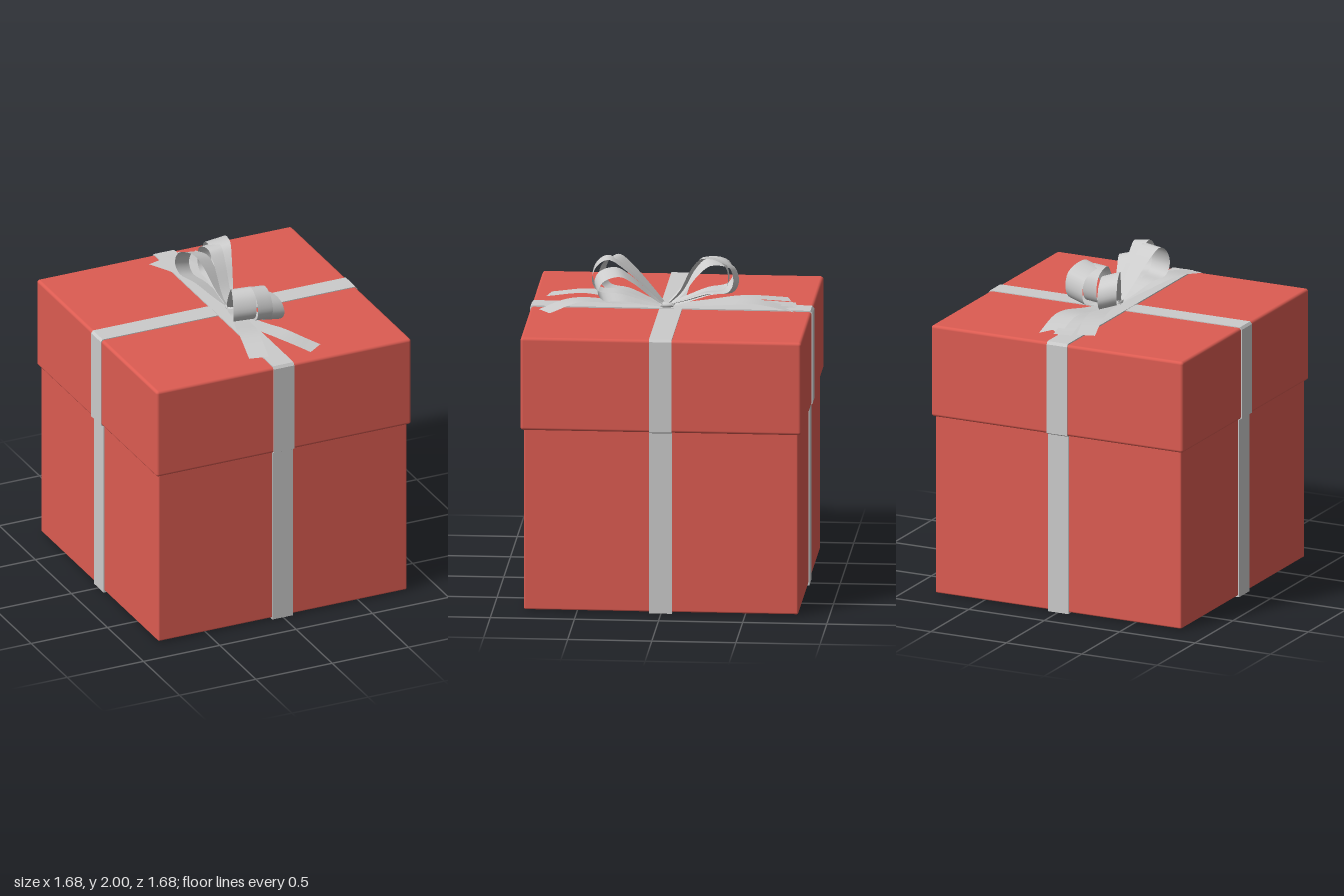
import * as THREE from 'three';
import { RoundedBoxGeometry } from 'three/addons/geometries/RoundedBoxGeometry.js';

const red = new THREE.MeshStandardMaterial({ color: 0xdd5c52 });
const grey = new THREE.MeshStandardMaterial({ color: 0xcccccc });
const satin = new THREE.MeshStandardMaterial({ color: 0xcccccc, side: THREE.DoubleSide });

function add(parent, name, geometry, material) {
  const mesh = new THREE.Mesh(geometry, material);
  mesh.name = name;
  parent.add(mesh);
  return mesh;
}

// Flat ribbon band wrapped round the stepped outline of the box
function bandGeometry(lift) {
  const half = [[0.822, 0], [0.822, 1.1], [0.84, 1.11], [0.84, 1.66], [0.828, 1.675 + lift]];
  const inner = [[0.805, 0.012], [0.805, 1.12], [0.825, 1.13], [0.825, 1.65], [0.815, 1.665]];
  const loop = (pts) => [...pts, ...[...pts].reverse().map(([x, y]) => [-x, y])]
    .map(([x, y]) => new THREE.Vector2(x, y));
  const shape = new THREE.Shape(loop(half));
  shape.holes.push(new THREE.Path(loop(inner)));
  const g = new THREE.ExtrudeGeometry(shape, { depth: 0.135, bevelEnabled: false });
  return g.translate(0, 0, -0.0675);
}

// Strip along a curve: width(t) across it, side(t, tangent) its direction, notch cuts a V in the end
function ribbonGeometry(points, width, side, notch = 0) {
  const curve = new THREE.CatmullRomCurve3(points.map((p) => new THREE.Vector3(...p)));
  const rows = 40, cols = 4, pos = [], index = [];
  for (let i = 0; i <= rows; i++) {
    const t = i / rows, c = curve.getPoint(t), tangent = curve.getTangent(t);
    const s = side(t, tangent), w = width(t);
    for (let j = 0; j <= cols; j++) {
      const u = j / cols - 0.5;
      const cut = -notch * (1 - Math.abs(u) * 2) * Math.max(0, (t - 0.7) / 0.3);
      const p = c.clone().addScaledVector(s, u * w).addScaledVector(tangent, cut);
      pos.push(p.x, p.y, p.z);
      if (i < rows && j < cols) {
        const a = i * (cols + 1) + j, b = a + cols + 1;
        index.push(a, b, a + 1, b, b + 1, a + 1);
      }
    }
  }
  const g = new THREE.BufferGeometry();
  g.setAttribute('position', new THREE.Float32BufferAttribute(pos, 3));
  g.setIndex(index);
  g.computeVertexNormals();
  return g;
}

// Bow loop: leaves the knot, climbs over the top, rounds the tip and returns beneath
function loopGeometry({ tip, top, crest, width, roll }) {
  const [tx, tz] = tip, kx = 0.03, kz = 0.03;
  const rise = top - 1.68;
  const path = [[0, 0.01], [0.2, 0.3], [crest * 0.72, 0.8], [crest, 1], [0.93, 0.88],
    [1, 0.58], [0.92, 0.36], [0.62, 0.3], [0.28, 0.14], [0, 0.02]];
  const points = path.map(([d, h]) => [kx + (tx - kx) * d, 1.68 + rise * h, kz + (tz - kz) * d]);
  const across = new THREE.Vector3(tz - kz, 0, kx - tx).normalize();
  if (across.x < 0) across.negate();
  across.y = roll;
  across.normalize();
  return ribbonGeometry(points, (t) => 0.035 + (width - 0.035) * Math.sin(Math.PI * t) ** 0.8, () => across);
}

// Loose tail lying over the lid
function tailGeometry({ points, width, notch }) {
  const side = (t, d) => new THREE.Vector3(d.z, 0, -d.x).normalize();
  return ribbonGeometry(points, (t) => 0.04 + (width - 0.04) * Math.min(1, t * 1.8), side, notch);
}

export function createModel() {
  const model = new THREE.Group();
  model.name = 'giftBox';

  // Box and overhanging lid
  add(model, 'boxBody', new RoundedBoxGeometry(1.63, 1.15, 1.63, 3, 0.01), red).position.y = 0.583;
  add(model, 'lid', new RoundedBoxGeometry(1.67, 0.565, 1.67, 3, 0.018), red).position.y = 1.3875;

  // Two crossing bands
  add(model, 'sideToSideBand', bandGeometry(0), grey).position.z = 0.003;
  const band = add(model, 'frontToBackBand', bandGeometry(0.002), grey);
  band.rotation.y = Math.PI / 2;
  band.position.x = -0.003;

  const bow = new THREE.Group();
  bow.name = 'bow';
  model.add(bow);

  // Three loops to the front, three to the back
  const loops = [
    { tip: [-0.06, 0.42], top: 1.965, crest: 0.78, width: 0.14, roll: 0.05 },
    { tip: [0.05, 0.47], top: 1.975, crest: 0.78, width: 0.1, roll: -0.1 },
    { tip: [0.13, 0.44], top: 1.9, crest: 0.7, width: 0.14, roll: -0.25 },
    { tip: [-0.1, -0.37], top: 1.94, crest: 0.62, width: 0.12, roll: -0.3 },
    { tip: [0.03, -0.34], top: 1.98, crest: 0.6, width: 0.09, roll: 0.1 },
    { tip: [0.11, -0.39], top: 1.985, crest: 0.55, width: 0.13, roll: 0.22 },
  ];
  loops.forEach((l) => add(bow, 'bowLoop', loopGeometry(l), satin));

  // Ribbon tails
  const tails = [
    { points: [[0.02, 1.685, 0.03], [-0.01, 1.71, 0.25], [-0.07, 1.74, 0.5], [-0.12, 1.705, 0.74]], width: 0.12, notch: 0 },
    { points: [[0.03, 1.685, 0.03], [0.05, 1.705, 0.3], [0.12, 1.73, 0.56], [0.25, 1.69, 0.74]], width: 0.12, notch: 0 },
    { points: [[0.02, 1.685, 0.03], [0, 1.71, -0.22], [-0.05, 1.725, -0.45], [-0.12, 1.7, -0.69]], width: 0.11, notch: 0 },
    { points: [[0.03, 1.685, 0.03], [0.07, 1.71, -0.22], [0.11, 1.74, -0.48], [0.1, 1.69, -0.74]], width: 0.13, notch: 0.06 },
    { points: [[0.03, 1.685, 0.03], [0.04, 1.7, -0.22], [0.05, 1.72, -0.48], [0.01, 1.7, -0.74]], width: 0.11, notch: 0 },
  ];
  tails.forEach((t) => add(bow, 'bowTail', tailGeometry(t), satin));

  // Small pinched knot
  const knot = add(bow, 'knot', new THREE.SphereGeometry(1, 20, 12), grey);
  knot.scale.set(0.03, 0.018, 0.05);
  knot.position.set(0.03, 1.69, 0.03);

  return model;
}
